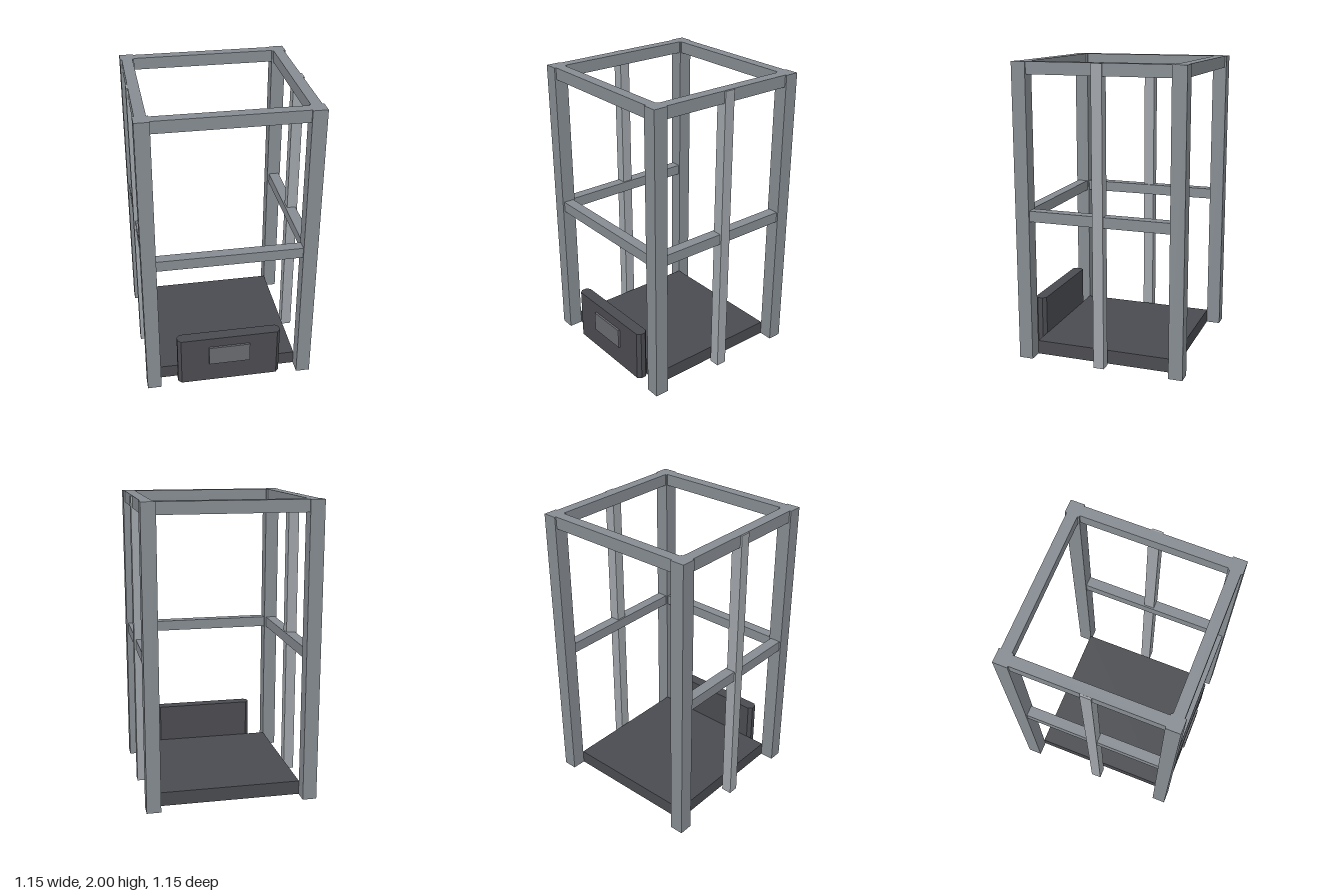
import * as THREE from 'three';

const mat = (color) => new THREE.MeshStandardMaterial({ color, flatShading: true });

export function createModel() {
  const model = new THREE.Group();
  const frame = mat(0x868c92), light = mat(0xa0a5aa), dark = mat(0x4a4b50), screen = mat(0x6a6b70);

  const box = (name, w, h, d, x, y, z, material) => {
    const mesh = new THREE.Mesh(new THREE.BoxGeometry(w, h, d), material);
    mesh.name = name;
    mesh.position.set(x, y, z);
    model.add(mesh);
  };

  const C = 0.5275;    // centre line of the frame members
  const POST = 0.095;  // corner post width
  const BEAM = 0.072;  // beam and upright width
  const SPAN = 2 * C - POST;

  // Corner posts
  for (const sx of [-1, 1]) for (const sz of [-1, 1])
    box('cornerPost', POST, 2, POST, sx * C, 1, sz * C, frame);

  for (const s of [-1, 1]) {
    // Top ring and side mid rails
    box('topBeam', SPAN, 0.08, BEAM, 0, 1.96, s * C, frame);
    box('topSideBeam', BEAM, 0.08, SPAN, s * C, 1.96, 0, frame);
    box('sideMidRail', BEAM, 0.072, SPAN, s * C, 0.997, 0, frame);
    // Slim upright halfway along each side, standing slightly proud
    box('sideUpright', BEAM, 1.998, BEAM, s * (0.575 - BEAM / 2), 0.999, 0, light);
  }

  // Front mid rail; the back stays open
  box('frontMidRail', SPAN, 0.072, BEAM, 0, 0.997, C, frame);

  // Floor platform
  box('platform', 0.96, 0.095, 0.96, 0, 0.0475, 0, dark);

  // Control panel with chamfered vertical edges
  const w = 0.358, c = 0.023, z0 = 0.478, z1 = 0.558;
  const outline = [
    [-w + c, z0], [w - c, z0], [w, z0 + c], [w, z1 - c],
    [w - c, z1], [-w + c, z1], [-w, z1 - c], [-w, z0 + c],
  ].map(([x, z]) => new THREE.Vector2(x, -z)).reverse();
  const panelGeo = new THREE.ExtrudeGeometry(new THREE.Shape(outline), { depth: 0.36, bevelEnabled: false });
  panelGeo.rotateX(-Math.PI / 2);
  const panel = new THREE.Mesh(panelGeo, dark);
  panel.name = 'controlPanel';
  model.add(panel);

  // Display on the panel
  box('display', 0.285, 0.14, 0.02, 0, 0.22, 0.562, screen);

  return model;
}
